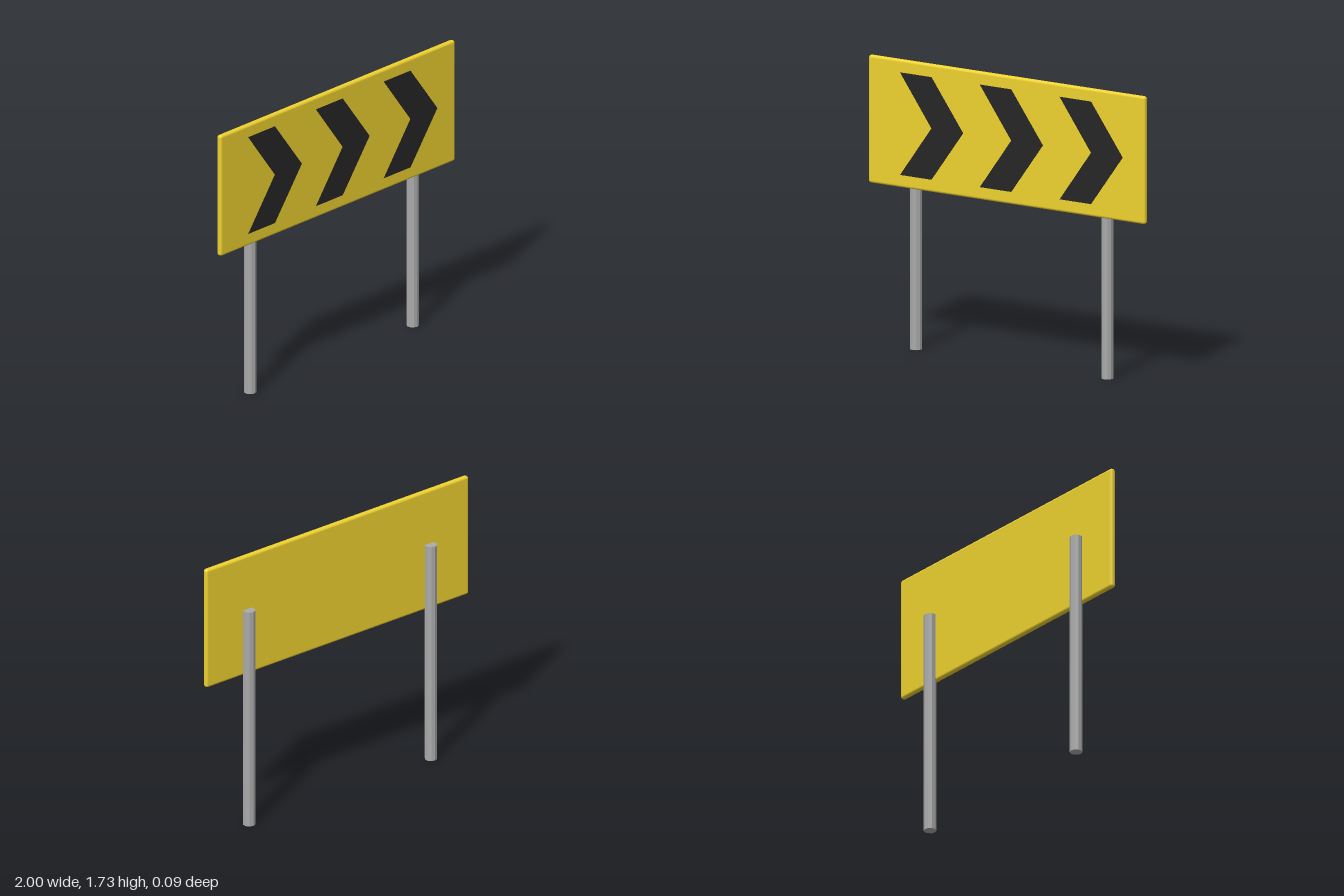
import * as THREE from 'three';
import { RoundedBoxGeometry } from 'three/addons/geometries/RoundedBoxGeometry.js';

const material = (color, extra = {}) => new THREE.MeshStandardMaterial({ color, ...extra });

export function createModel() {
  const root = new THREE.Group();
  root.name = 'chevronRoadSign';

  const yellow = material(0xf0d32f);
  const black = material(0x262626);
  const grey = material(0xaaaaaa, { flatShading: true });

  const add = (name, geometry, mat, x, y, z) => {
    const mesh = new THREE.Mesh(geometry, mat);
    mesh.name = name;
    mesh.position.set(x, y, z);
    root.add(mesh);
  };

  // Sign board with softly rounded edges
  const midY = 1.349;
  add('board', new RoundedBoxGeometry(2, 0.766, 0.036, 2, 0.016), yellow, 0, midY, 0.026);

  // Three arrow marks on the front, pointing to +x
  const h = 0.307;
  const chevron = new THREE.Shape([
    [-0.227, -h], [0, -h], [0.229, 0], [0, h], [-0.227, h], [0, 0],
  ].map(([x, y]) => new THREE.Vector2(x, y)));
  const chevronGeometry = new THREE.ExtrudeGeometry(chevron, { depth: 0.002, bevelEnabled: false });
  for (let i = 0; i < 3; i++) {
    add(`chevron${i + 1}`, chevronGeometry, black, -0.54 + i * 0.577, midY, 0.0435);
  }

  // Two faceted posts, set into the back of the board
  const postHeight = 1.388;
  const postGeometry = new THREE.CylinderGeometry(0.0375, 0.0375, postHeight, 10);
  for (const side of [-1, 1]) {
    add(side > 0 ? 'leftPost' : 'rightPost', postGeometry, grey, side * 0.692, postHeight / 2, -0.011);
  }

  return root;
}
